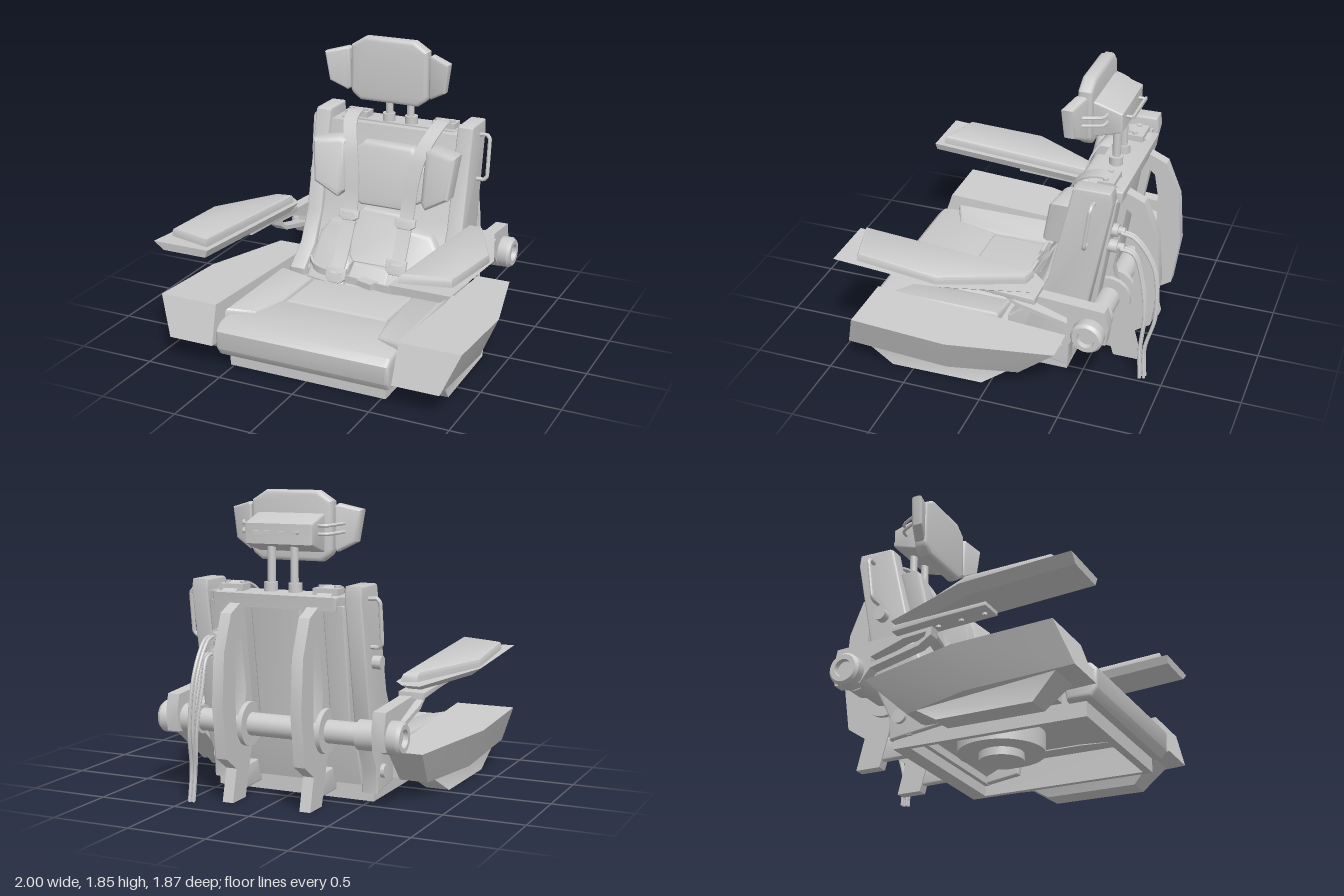
import * as THREE from 'three';
import { toCreasedNormals } from 'three/addons/utils/BufferGeometryUtils.js';

const V = (x, y, z) => new THREE.Vector3(x, y, z);
const material = new THREE.MeshStandardMaterial({ color: 0xcccccc, side: THREE.DoubleSide });
const shapeOf = (pts) => new THREE.Shape(pts.map((p) => new THREE.Vector2(p[0], p[1])));
// Half outline (x > 0, top to bottom) completed by its mirror image
const symmetric = (half) => [...half, ...half.map(([x, y]) => [-x, y]).reverse()];

function extrude(pts, depth, bevel, hole) {
  const shape = shapeOf(pts);
  if (hole) shape.holes.push(shapeOf(hole));
  return new THREE.ExtrudeGeometry(shape, {
    depth: depth - 2 * bevel, bevelEnabled: bevel > 0, bevelThickness: bevel,
    bevelSize: bevel, bevelOffset: -bevel, bevelSegments: 3,
  }).translate(0, 0, bevel);
}
// Side profile in (z, y), spanning x0..x1
const sideways = (pts, x0, x1, bevel = 0.01, hole) =>
  extrude(pts, x1 - x0, bevel, hole).rotateY(-Math.PI / 2).translate(x1, 0, 0);
// Plan outline in (x, z), spanning y0..y1
const upward = (pts, y0, y1, bevel, hole) =>
  extrude(pts, y1 - y0, bevel, hole).rotateX(Math.PI / 2).translate(0, y1, 0);
// Front outline in (x, y), pushed along z by a rule
function cushion(pts, depth, bevel, rule) {
  const g = extrude(pts, depth, bevel);
  const p = g.attributes.position;
  for (let i = 0; i < p.count; i++) p.setZ(i, p.getZ(i) + rule(p.getX(i), p.getY(i)));
  return g;
}

// Closed skin through equal rings of points, capped at both ends
function loft(rings) {
  const tris = [], n = rings[0].length;
  for (let r = 0; r + 1 < rings.length; r++) {
    for (let i = 0; i < n; i++) {
      const j = (i + 1) % n, a = rings[r], b = rings[r + 1];
      tris.push([a[i], a[j], b[j]], [a[i], b[j], b[i]]);
    }
  }
  const first = rings[0], last = rings[rings.length - 1];
  for (let i = 1; i + 1 < n; i++) {
    tris.push([first[0], first[i + 1], first[i]], [last[0], last[i], last[i + 1]]);
  }
  let volume = 0;
  for (const [a, b, c] of tris) volume += a.dot(b.clone().cross(c));
  const pts = tris.flatMap(([a, b, c]) => (volume < 0 ? [a, c, b] : [a, b, c]));
  return new THREE.BufferGeometry().setFromPoints(pts);
}
const ring = (plan, y) => plan.map(([x, z]) => V(x, y(z), z));

// Flat strap along a curve; side is its width direction
function strap(points, width, side = V(1, 0, 0), thick = 0.012) {
  const curve = new THREE.CatmullRomCurve3(points.map((p) => V(...p)));
  const rings = [];
  for (let i = 0; i <= 32; i++) {
    const p = curve.getPointAt(i / 32);
    const n = curve.getTangentAt(i / 32).cross(side).normalize().multiplyScalar(thick / 2);
    const w = side.clone().multiplyScalar(width / 2);
    rings.push([[1, 1], [1, -1], [-1, -1], [-1, 1]].map(([a, b]) =>
      p.clone().addScaledVector(w, a).addScaledVector(n, b)));
  }
  return loft(rings);
}
const tube = (points, r, curved = true) => new THREE.TubeGeometry(
  new THREE.CatmullRomCurve3(points.map((p) => V(...p)), false, curved ? 'centripetal' : 'catmullrom', 0.05), 48, r, 8);
const box = (w, h, d, x, y, z) => new THREE.BoxGeometry(w, h, d).translate(x, y, z);
const rodY = (r, y0, y1, x, z, seg = 20) =>
  new THREE.CylinderGeometry(r, r, y1 - y0, seg).translate(x, (y0 + y1) / 2, z);
const rodX = (r, x0, x1, y, z) =>
  new THREE.CylinderGeometry(r, r, x1 - x0, 28).rotateZ(Math.PI / 2).translate((x0 + x1) / 2, y, z);
const rodZ = (r, z0, z1, x, y) =>
  new THREE.CylinderGeometry(r, r, z1 - z0, 16).rotateX(Math.PI / 2).translate(x, y, (z0 + z1) / 2);

function mirrored(geo) {
  const g = geo.index ? geo.toNonIndexed() : geo.clone();
  const p = g.attributes.position, a = V(), b = V();
  for (let i = 0; i < p.count; i += 3) {
    a.fromBufferAttribute(p, i + 1); b.fromBufferAttribute(p, i + 2);
    p.setXYZ(i + 1, b.x, b.y, b.z); p.setXYZ(i + 2, a.x, a.y, a.z);
  }
  return g.scale(-1, 1, 1);
}

export function createModel() {
  const model = new THREE.Group();
  model.name = 'chair';
  const add = (name, geo) => {
    const mesh = new THREE.Mesh(toCreasedNormals(geo, 0.6), material);
    mesh.name = name;
    model.add(mesh);
  };
  const pair = (name, geo) => { add(name + 'Left', geo); add(name + 'Right', mirrored(geo)); };

  // Hollow seat base with swivel disc and rear beam
  const rect = (x, z0, z1) => [[x, z1], [x, z0], [-x, z0], [-x, z1]];
  add('seatBase', upward(rect(0.525, -0.4, 0.82), 0, 0.2, 0, rect(0.49, -0.3, 0.77)));
  add('swivel', rodY(0.27, 0.07, 0.2, 0, 0.05, 40));
  add('swivelHub', rodY(0.14, 0.02, 0.08, 0, 0.05, 32));
  add('rearBeam', box(1.1, 0.07, 0.1, 0, 0.1, -0.32));

  // Seat cushions; the side bolsters rise towards their outer edge
  add('seatCushion', sideways([[-0.15, 0.19], [-0.15, 0.28], [0.4, 0.285], [0.44, 0.303], [0.8, 0.31], [0.87, 0.297], [0.91, 0.255], [0.905, 0.14], [0.87, 0.09], [0.72, 0.09], [0.7, 0.19]], -0.58, 0.58, 0.025));
  add('seatCentre', upward(symmetric([[0.35, 0.03], [0.35, 0.42]]), 0.24, 0.305, 0.02));
  const bolster = [[0.355, 0.03], [0.583, 0.03], [0.583, 0.77], [0.41, 0.69], [0.355, 0.42]];
  pair('seatBolster', loft([[1, -0.13], [1, -0.025], [0.96, -0.008], [0.88, 0]].map(([s, h]) =>
    bolster.map(([x, z]) => V(0.47 + (x - 0.47) * s, 0.313 + (x - 0.355) * 0.14 + h, 0.4 + (z - 0.4) * (0.6 + 0.4 * s))))));

  // Side pods and their feet
  const podTop = [[0.61, 0.83], [1, 0.83], [1, 0.22], [0.84, -0.42], [0.62, -0.42]];
  const podLow = [[0.6, 0.91], [0.9, 0.91], [0.9, 0.25], [0.78, -0.17], [0.6, -0.17]];
  const podLowY = (z) => 0.1 + 0.055 * z;
  pair('sidePod', loft([ring(podLow, podLowY), ring(podTop, (z) => 0.345 + 0.056 * z)]));
  pair('podFoot', loft([
    ring([[0.69, 0.64], [0.85, 0.64], [0.84, 0.05], [0.69, 0.05]], () => 0),
    ring([[0.65, 0.79], [0.88, 0.79], [0.8, -0.1], [0.65, -0.1]], podLowY)]));
  pair('podMount', box(0.12, 0.08, 0.85, 0.57, 0.14, 0.25));
  pair('pivotBolt', rodX(0.042, 0.54, 0.58, 0.18, -0.34));

  // Backrest shell
  pair('backFrame', sideways([[-0.43, 1.31], [-0.45, 1.32], [-0.66, 1.32], [-0.67, 1.25], [-0.5, 0.36], [-0.42, 0.2], [-0.41, 0.05], [-0.05, 0.1], [-0.02, 0.33], [-0.18, 0.46], [-0.28, 0.66]], 0.45, 0.555));
  add('backShell', sideways([[-0.45, 1.25], [-0.64, 1.25], [-0.5, 0.35], [-0.42, 0.1], [-0.3, 0.1], [-0.08, 0.2], [-0.08, 0.32], [-0.22, 0.45], [-0.33, 0.7]], -0.46, 0.46));
  const rearPanel = [[-0.6, 1.2], [-0.665, 1.2], [-0.54, 0.4], [-0.48, 0.4]];
  add('rearPanelCentre', sideways(rearPanel, -0.16, 0.16));
  pair('rearPanelSide', sideways(rearPanel, 0.31, 0.44));
  add('topRail', sideways([[-0.5, 1.23], [-0.5, 1.26], [-0.69, 1.25], [-0.68, 1.17], [-0.6, 1.17]], -0.4, 0.4));

  // Curved rear ribs with legs, and floor links
  pair('rearRib', sideways(
    [[-0.6, 1.2], [-0.68, 1.19], [-0.79, 1.14], [-0.88, 0.92], [-0.905, 0.6], [-0.86, 0.28], [-0.74, 0.2], [-0.79, 0], [-0.63, 0], [-0.53, 0.36], [-0.5, 0.5]],
    0.22, 0.29, 0, [[-0.685, 1.08], [-0.72, 1.05], [-0.745, 0.9], [-0.745, 0.5], [-0.71, 0.36], [-0.68, 0.36], [-0.61, 0.65]]));
  pair('floorLink', sideways([[-0.36, 0.2], [-0.62, 0.19], [-0.7, 0.22], [-0.71, 0.08], [-0.64, 0.045], [-0.36, 0.05]], 0.23, 0.28));

  // Arm shaft with flanges and hubs
  add('armShaft', rodX(0.07, -0.72, 0.72, 0.45, -0.6));
  for (const x of [0.19, 0.29]) pair('shaftFlange', rodX(0.135, x, x + 0.03, 0.45, -0.6));
  pair('shaftSleeve', rodX(0.09, 0.52, 0.65, 0.45, -0.6));
  const hub = [[0.05, 0.66], [0.09, 0.66], [0.1, 0.68], [0.1, 0.78], [0.085, 0.8], [0.055, 0.8], [0.05, 0.77], [0, 0.77]];
  pair('armHub', new THREE.LatheGeometry(hub.map((p) => new THREE.Vector2(...p)), 32).rotateZ(-Math.PI / 2).translate(0, 0.45, -0.6));

  // Arm brackets with open slot, and mounting plate under the armrest
  pair('armBracket', sideways(
    [[-0.05, 0.65], [-0.3, 0.635], [-0.69, 0.61], [-0.715, 0.5], [-0.7, 0.38], [-0.53, 0.37], [-0.46, 0.455], [-0.14, 0.535], [-0.06, 0.59]],
    0.64, 0.72, 0, [[-0.09, 0.615], [-0.24, 0.6], [-0.46, 0.525], [-0.46, 0.485], [-0.15, 0.56], [-0.1, 0.585]]));
  pair('armPlate', sideways([[0.33, 0.69], [0.33, 0.665], [0, 0.645], [-0.28, 0.62], [-0.28, 0.66]], 0.63, 0.79, 0.004));
  for (const z of [0.28, 0.13, -0.02]) pair('plateBolt', rodY(0.016, 0.632 + 0.06 * z, 0.68, 0.7, z, 10));

  // Armrests: bevelled tray with a soft pad
  const trayTop = [[0.59, -0.22], [0.59, 0.935], [0.965, 0.935], [0.965, 0.25], [0.77, -0.3], [0.66, -0.3]];
  const trayLow = [[0.61, -0.14], [0.61, 0.93], [0.9, 0.93], [0.9, 0.27], [0.74, -0.18], [0.66, -0.18]];
  const trayY = (lift) => (z) => 0.722 + 0.072 * z + lift;
  pair('armTray', loft([ring(trayLow, trayY(-0.05)), ring(trayTop, trayY(0))]));
  const pad = [[0.626, -0.22], [0.626, 0.88], [0.92, 0.8], [0.95, 0.28], [0.72, -0.2]];
  const inset = (s) => pad.map(([x, z]) => [0.78 + (x - 0.78) * s, 0.33 + (z - 0.33) * (1 + (s - 1) * 0.4)]);
  pair('armPad', loft([[1, -0.01], [1, 0.028], [0.96, 0.046], [0.88, 0.054]].map(([s, h]) => ring(inset(s), trayY(h)))));

  // Backrest cushions follow the lean of the back
  const lean = [[1.3, -0.46], [0.7, -0.33], [0.45, -0.21], [0.2, 0.02]];
  const backZ = (y) => {
    let k = 0;
    while (k < 2 && y < lean[k + 1][0]) k++;
    const [y0, z0] = lean[k], [y1, z1] = lean[k + 1];
    return z0 + (z1 - z0) * (y - y0) / (y1 - y0);
  };
  add('upperBackPad', cushion(symmetric([[0.17, 1.16], [0.27, 1.08], [0.33, 0.98], [0.31, 0.84], [0.15, 0.75]]), 0.1, 0.03, (x, y) => backZ(y) - 0.01));
  pair('backBolster', cushion([[0.275, 1.16], [0.32, 1.18], [0.505, 1.155], [0.475, 0.88], [0.31, 0.785], [0.275, 0.83]], 0.15, 0.035, (x, y) => backZ(y) - 0.03 + (x - 0.27) * 0.2));
  add('lumbarPad', cushion(symmetric([[0.13, 0.73], [0.2, 0.66], [0.17, 0.44], [0.13, 0.41]]), 0.1, 0.02, (x, y) => backZ(y) - 0.01));
  pair('lumbarWing', cushion([[0.15, 0.65], [0.36, 0.62], [0.42, 0.54], [0.43, 0.28], [0.14, 0.28], [0.14, 0.4], [0.21, 0.47]], 0.13, 0.025, (x, y) => backZ(y) - 0.03 - (x - 0.2) * 0.2));
  add('lowerBackPad', cushion(symmetric([[0.13, 0.4], [0.15, 0.27]]), 0.08, 0.02, (x, y) => backZ(y) - 0.01));

  // Headrest with angled wings, housing, rods and posts
  add('headPad', cushion(symmetric([[0.17, 1.85], [0.265, 1.79], [0.27, 1.5], [0.255, 1.47], [0.2, 1.43]]), 0.09, 0.025, () => -0.445));
  pair('headWing', cushion([[0.275, 1.76], [0.295, 1.775], [0.43, 1.74], [0.4, 1.55], [0.29, 1.49], [0.275, 1.505]], 0.075, 0.018, (x) => -0.435 + (x - 0.27) * 0.35));
  add('headHousing', sideways([[-0.42, 1.72], [-0.47, 1.71], [-0.62, 1.66], [-0.62, 1.54], [-0.56, 1.52], [-0.42, 1.48]], -0.22, 0.22));
  pair('housingPeg', rodZ(0.01, -0.66, -0.61, 0.13, 1.61));
  add('housingRail', box(0.28, 0.02, 0.015, 0, 1.61, -0.662));
  for (const y of [1.6, 1.65]) pair('wingRod', tube([[0.2, y, -0.53], [0.27, y, -0.52], [0.31, y + 0.005, -0.46], [0.34, y + 0.01, -0.39]], 0.01));
  pair('headPost', rodY(0.025, 1.2, 1.54, 0.075, -0.55));
  pair('postCollar', rodY(0.042, 1.24, 1.31, 0.08, -0.55));

  // Grab handles and a socket on the right flank
  pair('grabHandle', tube([[0.53, 1.24, -0.56], [0.605, 1.245, -0.56], [0.625, 1.22, -0.557], [0.625, 0.98, -0.525], [0.605, 0.955, -0.52], [0.53, 0.955, -0.52]], 0.013, false));
  add('sideSocket', rodX(0.04, -0.61, -0.54, 0.86, -0.48));

  // Shoulder straps, anchors and buckles
  pair('shoulderStrap', strap([[0.31, 1.24, -0.66], [0.31, 1.3, -0.56], [0.3, 1.27, -0.43], [0.25, 1.14, -0.32], [0.215, 0.98, -0.27], [0.2, 0.75, -0.22], [0.2, 0.5, -0.1], [0.2, 0.33, 0.02]], 0.095));
  pair('strapAnchor', box(0.16, 0.04, 0.1, 0.31, 1.275, -0.58));
  for (const x of [0.26, 0.36]) pair('anchorBolt', rodY(0.018, 1.28, 1.31, x, -0.57, 10));
  const buckle = (x, y, z, h) => extrude([[-0.07, h], [0.07, h], [0.07, -h * 0.4], [0.04, -h], [-0.04, -h], [-0.07, -h * 0.4]], 0.025, 0.005,
    [[-0.045, h * 0.6], [0.045, h * 0.6], [0.045, h * 0.1], [-0.045, h * 0.1]]).rotateX(-0.4).translate(x, y, z);
  pair('upperBuckle', buckle(0.2, 0.69, -0.2, 0.035));
  add('lowerBuckleLeft', buckle(0.2, 0.44, -0.06, 0.05));
  add('lowerBuckleRight', buckle(-0.2, 0.34, 0, 0.05));
  // Lap belt lying on the seat
  add('lapBelt', strap([[-0.45, 0.37, -0.12], [-0.38, 0.35, -0.04], [-0.2, 0.335, 0], [0.05, 0.33, 0.03], [0.28, 0.335, 0.05], [0.4, 0.36, -0.03], [0.45, 0.38, -0.14]], 0.05, V(0, 1, 0)));
  add('lapClasp', box(0.12, 0.04, 0.07, 0.04, 0.335, 0.02).rotateY(-0.3));

  // Plugs and hanging cables on the left
  for (const [y, x, reach, end] of [[0.985, 0.39, -0.925, -0.88], [0.88, 0.4, -0.86, -0.855]]) {
    add('cablePlug', rodZ(0.04, -0.67, -0.58, x, y));
    add('cableCollar', rodZ(0.025, -0.71, -0.66, x, y));
    for (const dx of [0, 0.025]) {
      add('cable', tube([[x + dx, y, -0.69], [x + dx, y - 0.02, -0.77], [x + dx, y - 0.2, reach + 0.03], [x + dx + 0.02, 0.45, reach], [x + dx + 0.04, 0.2, end + 0.01], [x + dx + 0.05, 0.005, end]], 0.011));
    }
  }
  return model;
}
